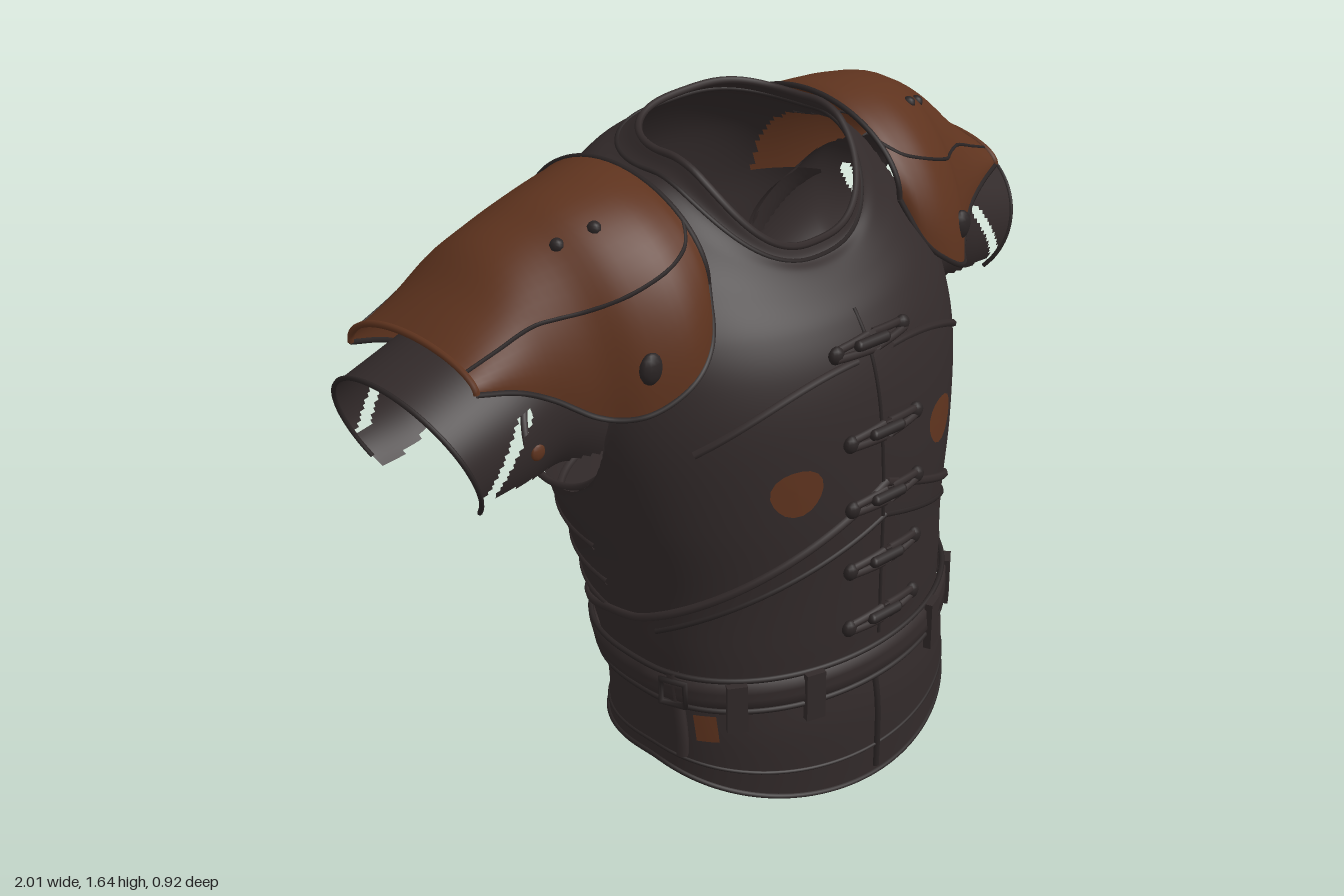
import * as THREE from 'three';

const mat = (name, color) => {
  const m = new THREE.MeshStandardMaterial({ color, side: THREE.DoubleSide });
  m.name = name;
  return m;
};
const V = (x, y, z) => new THREE.Vector3(x, y, z);

// Surface from a rule f(u, v); optionally closed in u, optionally skipping quads
function grid(f, nu, nv, closed, skip) {
  const pos = [], idx = [], cols = closed ? nu : nu + 1, cut = [];
  for (let j = 0; j <= nv; j++) for (let i = 0; i < cols; i++) {
    const p = f(i / nu, j / nv);
    cut.push(skip ? skip(p) : false);
    pos.push(p.x, p.y, p.z);
  }
  for (let j = 0; j < nv; j++) for (let i = 0; i < nu; i++) {
    const k = (i + 1) % cols;
    const a = j * cols + i, b = j * cols + k, c = a + cols, d = b + cols;
    if (cut[a] && cut[b] && cut[c] && cut[d]) continue;
    idx.push(a, c, b, b, c, d);
  }
  const g = new THREE.BufferGeometry();
  g.setAttribute('position', new THREE.Float32BufferAttribute(pos, 3));
  g.setIndex(idx);
  g.computeVertexNormals();
  return g;
}
const curve = (rows, k) => new THREE.CatmullRomCurve3(rows.map(r => V(r[k], r[k + 1], r[k + 2])), false, 'catmullrom', 0.5);

// Torso rings: side, front and back height, half width, front z, back z
const RINGS = [
  [0.13, 0.0, 0.15, 0.48, 0.445, -0.21], [0.22, 0.2, 0.22, 0.475, 0.445, -0.21],
  [0.34, 0.34, 0.34, 0.475, 0.425, -0.225], [0.45, 0.45, 0.45, 0.485, 0.425, -0.26],
  [0.6, 0.6, 0.6, 0.5, 0.425, -0.31], [0.8, 0.8, 0.8, 0.545, 0.425, -0.365],
  [1.0, 1.0, 1.0, 0.575, 0.41, -0.405], [1.15, 1.13, 1.15, 0.57, 0.38, -0.425],
  [1.28, 1.22, 1.28, 0.54, 0.335, -0.43], [1.42, 1.28, 1.43, 0.45, 0.285, -0.405],
  [1.51, 1.32, 1.54, 0.35, 0.245, -0.34], [1.55, 1.34, 1.59, 0.275, 0.215, -0.275],
  [1.585, 1.37, 1.625, 0.245, 0.2, -0.225],
];
const heights = curve(RINGS, 0), spans = curve(RINGS, 3);
const spow = (x, e) => Math.sign(x) * Math.pow(Math.abs(x), e);

function torso(u, v, off = 0) {
  const h = heights.getPoint(v), w = spans.getPoint(v);
  const c = Math.cos(u), s = Math.sin(u);
  const e = s < 0 ? 0.68 : 1 - 0.25 * THREE.MathUtils.smoothstep(v, 0.78, 1);
  const b = (w.y - w.z) / 2, mid = (w.y + w.z) / 2;
  const n = V(c / w.x, 0, s / b).normalize().multiplyScalar(off);
  const y = h.x + (s > 0 ? (h.y - h.x) * Math.pow(s, 1.35) : (h.z - h.x) * s * s);
  return V(w.x * spow(c, e), y, mid + b * spow(s, e)).add(n);
}
// Torso point at an angle and a height
function around(u, y, off) {
  let lo = 0, hi = 1;
  for (let i = 0; i < 16; i++) {
    const m = (lo + hi) / 2;
    if (torso(u, m).y < y) lo = m; else hi = m;
  }
  return torso(u, lo, off);
}
// Torso front point at x, y
function front(x, y, off) {
  let lo = 0, hi = Math.PI;
  for (let i = 0; i < 16; i++) {
    const m = (lo + hi) / 2;
    if (around(m, y, 0).x > x) lo = m; else hi = m;
  }
  return around(lo, y, off);
}

// Cut the torso under the shoulder plates and at the armholes, whose cut vertices move to the rim
function torsoCut(p) {
  const x = Math.abs(p.x);
  if (x < 0.33) return false;
  const dy = p.y - 1.05, dz = p.z + 0.145, r = Math.hypot(dy / 0.235, dz / 0.22);
  if (r < 1 && r > 1e-4) {
    p.y = 1.05 + dy / r;
    p.z = -0.145 + dz / r;
  }
  return r < 1 || (x > 0.38 && p.y > 1.26);
}
// Open the sleeve under the plate, along its underside and at the cuff slit
function sleeveCut(p) {
  const x = Math.abs(p.x), t = (1.18 - p.y) / 0.18;
  const slit = t > 0 && t < 1 && Math.abs(x - 0.77 - 0.12 * t) < 0.026;
  const under = p.y < 1 && Math.hypot((p.y - 1.04) / 0.21, (p.z + 0.14) / 0.225) < 1;
  return (x < 0.8 && p.y > 1.27) || (x < 0.62 && p.y < 0.95) || slit || under;
}

// Sleeve rings: top x, top y, bottom x | bottom y, centre z, half depth
const SLEEVE = [
  [0.49, 1.32, 0.53, 0.82, -0.145, 0.23], [0.66, 1.36, 0.66, 0.9, -0.16, 0.24],
  [0.82, 1.3, 0.76, 0.88, -0.165, 0.235], [1.0, 1.24, 0.86, 0.88, -0.17, 0.23],
];
const slA = curve(SLEEVE, 0), slB = curve(SLEEVE, 3);
function sleeve(m, a, v, off = 0) {
  const p = slA.getPoint(v), q = slB.getPoint(v), s = Math.sin(a), c = Math.cos(a);
  const x = (p.x + p.z) / 2 + (p.x - p.z) / 2 * s;
  const back = 0.14 * Math.pow(Math.max(0, -c), 2) * Math.max(0, 1 - v * 3);
  return V(m * (x - back), (p.y + q.x) / 2 + ((p.y - q.x) / 2 + off) * s, q.y + (q.z + off) * c);
}

// Shoulder plate arches: x, top y, back z | back y, front z, front y
const PLATE = [
  [0.33, 1.565, -0.44, 1.3, 0.17, 1.36], [0.37, 1.575, -0.455, 1.2, 0.22, 1.25],
  [0.45, 1.575, -0.45, 1.14, 0.24, 1.18], [0.55, 1.555, -0.435, 1.11, 0.205, 1.13],
  [0.63, 1.52, -0.425, 1.12, 0.14, 1.13], [0.72, 1.47, -0.415, 1.16, 0.085, 1.19],
  [0.8, 1.395, -0.405, 1.2, 0.06, 1.23], [0.89, 1.32, -0.395, 1.23, 0.035, 1.25],
];
const plA = curve(PLATE, 0), plB = curve(PLATE, 3);
function plate(m, s, t, off = 0) {
  const p = plA.getPoint(s), q = plB.getPoint(s), a = Math.PI * (1 - t);
  const base = q.x + (q.z - q.x) * t;
  return V(m * p.x, base + (p.y - base + off) * Math.sin(a), (p.z + q.y) / 2 + ((q.y - p.z) / 2 + off) * Math.cos(a));
}

export function createModel() {
  const leather = mat('dark leather', 0x322a2a);
  const brown = mat('brown leather', 0x5e331e);
  const dark = mat('dark trim', 0x2a2424);
  const root = new THREE.Group();
  root.name = 'leatherArmour';

  const add = (name, geo, m, p) => {
    const o = new THREE.Mesh(geo, m);
    o.name = name;
    if (p) o.position.copy(p);
    root.add(o);
    return o;
  };
  const tube = (name, pts, r, m, closed = false) =>
    add(name, new THREE.TubeGeometry(new THREE.CatmullRomCurve3(pts, closed), pts.length * 4, r, 6, closed), m);
  const line = (n, f) => Array.from({ length: n + 1 }, (_, i) => f(i / n));
  const loop = (n, f) => Array.from({ length: n }, (_, i) => f(i / n * Math.PI * 2));

  // Body shell with open hem, neck, shoulders and armholes
  add('torso', grid((u, v) => torso(u * Math.PI * 2, v), 144, 100, true, torsoCut), leather);
  tube('collarRim', loop(40, u => torso(u, 1)), 0.009, leather, true);
  tube('collarSeam', loop(40, u => torso(u, 0.91, -0.002)), 0.006, dark, true);
  tube('hemRim', loop(40, u => torso(u, 0)), 0.007, dark, true);
  tube('hemSeam', loop(40, u => torso(u, 0.035, 0)), 0.005, dark, true);

  // Waist belt with edges, rising towards the back
  const beltY = (u, y) => y + 0.022 * (1 - Math.sin(u));
  const beltPoint = (u, v) => around(u * Math.PI * 2, beltY(u * Math.PI * 2, 0.295 + 0.085 * v), v > 0.01 && v < 0.99 ? 0.022 : 0.005);
  add('belt', grid(beltPoint, 96, 5, true), leather);
  for (const y of [0.295, 0.38]) tube('beltEdge', loop(40, u => around(u, beltY(u, y), 0.012)), 0.007, dark, true);

  // Belt loops, side straps and buckles
  for (const x of [-0.38, -0.22, 0.2, 0.38]) {
    const o = add('beltLoop', new THREE.BoxGeometry(0.05, 0.13, 0.02), leather, front(x, 0.32, 0.022));
    o.rotation.y = x * 1.6;
  }
  for (const m of [-1, 1]) {
    const a = m > 0 ? 0.25 : Math.PI - 0.25;
    const o = add('buckle', new THREE.TorusGeometry(0.045, 0.009, 6, 4).rotateZ(Math.PI / 4), dark, around(a, 0.35, 0.024));
    o.rotation.y = m * 1.25;
    tube('sideStrap', line(6, t => around(a, 0.17 + t * 0.23, 0.008)), 0.016, leather);
  }

  // Front opening and skirt split
  tube('frontSeam', line(16, t => front(-0.01, 0.4 + t * 0.84, 0)), 0.005, dark);
  tube('skirtSplit', line(5, t => front(-0.03, 0.02 + t * 0.27, 0)), 0.009, dark);

  // Overlapping layer seams on chest, flanks and back
  for (const m of [-1, 1]) {
    const ang = a => (m > 0 ? a : Math.PI - a);
    tube('chestSeam', line(12, t => front(m * (0.06 + 0.4 * t), 1.14 - 0.13 * t * t, 0.001)), 0.01, leather);
    tube('wrapSeam', line(16, t => around(ang(Math.PI / 2 - t * Math.PI * 0.98), 0.82 - 0.36 * Math.sin(t * Math.PI * 0.62), 0.002)), 0.011, leather);
    tube('waistSeam', line(10, t => around(ang(Math.PI / 2 - t * 1.4), 0.73 - 0.23 * t, 0)), 0.007, dark);
    // Slightly lumpy round chest patch
    const c = front(m * 0.25 - 0.01, 0.88, 0);
    add('chestPatch', grid((u, v) => {
      const a = u * Math.PI * 2, r = (0.063 + 0.003 * Math.sin(3 * a)) * v;
      return front(c.x + r * Math.cos(a), 0.88 + r * 0.92 * Math.sin(a), 0.008);
    }, 18, 2, true), brown);
  }
  add('hipPatch', grid((u, v) => front(-0.445 + u * 0.03, 0.22 + v * 0.07, 0.012), 3, 3, false), brown);
  for (const y of [0.5, 0.58, 0.68])
    tube('backFold', line(14, t => around(Math.PI + 0.1 + t * (Math.PI - 0.2), y + 0.06 * Math.sin(t * Math.PI), -0.004)), 0.011, leather);

  // Toggle clasps down the front
  for (const y of [1.17, 0.96, 0.79, 0.62, 0.46]) {
    for (const m of [-1, 1]) {
      for (const d of [-0.016, 0.016])
        tube('claspCord', line(4, t => front(m * (0.01 + 0.11 * t), y + d * (1 - t * 0.5), 0.008)), 0.01, leather);
      const k = add('claspKnot', new THREE.SphereGeometry(0.022, 10, 8), dark, front(m * 0.115, y, 0.006));
      k.scale.z = 0.7;
    }
    const g = add('toggle', new THREE.CapsuleGeometry(0.014, 0.09, 4, 8), dark, front(-0.01, y + 0.005, 0.018));
    g.rotation.z = 1.5;
  }

  // Sleeves and shoulder plates
  for (const m of [-1, 1]) {
    add('sleeve', grid((u, v) => sleeve(m, u * Math.PI * 2, v), 120, 60, true, sleeveCut), leather);
    tube('cuffRim', line(24, t => sleeve(m, Math.PI * (-0.2 + 1.4 * t), 1)), 0.006, dark);
    tube('armholeSeam', line(20, t => sleeve(m, Math.PI * (0.9 + 1.2 * t), 0.03, 0.004)), 0.009, leather);

    add('shoulderPlate', grid((u, v) => plate(m, u, v), 32, 32, false), brown);
    tube('plateInnerEdge', line(20, t => plate(m, 0, t)), 0.007, dark);
    tube('plateOuterEdge', line(20, t => plate(m, 1, t)), 0.008, brown);
    for (const t of [0, 1]) tube('plateLowerEdge', line(20, s => plate(m, s, t)), 0.007, dark);
    tube('plateFrontSeam', line(14, s => plate(m, s, 0.77 + 0.04 * s, -0.001)), 0.005, dark);
    tube('plateBackSeam', line(14, s => plate(m, s, 0.24 - 0.06 * s, -0.001)), 0.004, dark);

    // Rivets and front fastening
    for (const [s, t] of [[0.4, 0.64], [0.53, 0.64]])
      add('rivet', new THREE.SphereGeometry(0.017, 10, 8), dark, plate(m, s, t, -0.006));
    const b = add('plateFastener', new THREE.SphereGeometry(0.038, 12, 8), dark, plate(m, 0.41, 0.92, -0.003));
    b.scale.set(0.85, 1, 0.5);
  }
  // Small brown stud on the right sleeve
  const stud = add('sleeveStud', new THREE.SphereGeometry(0.02, 10, 8), brown, sleeve(-1, -0.12, 0.6));
  stud.scale.z = 0.4;
  return root;
}
